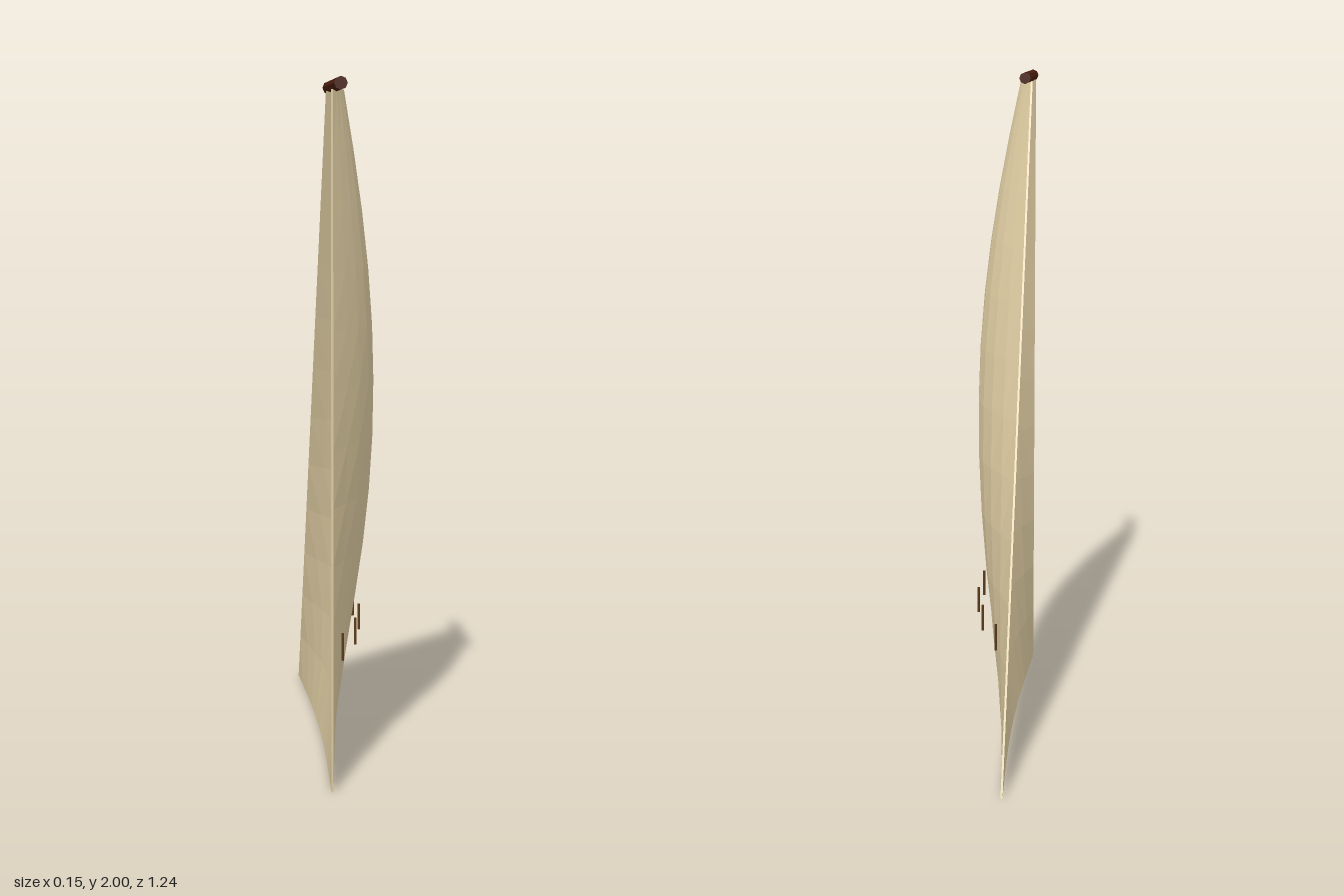
import * as THREE from 'three';

const COLS = 10, ROWS = 12, HEIGHT = 1.97, THICK = 0.006;

// Point on the billowed sail: u runs luff to leech, v runs foot to head
function sailPoint(u, v, inner) {
  const luff = 0.525, leech = THREE.MathUtils.lerp(-0.615, 0.385, v);
  const billow = 0.148 * Math.sin(Math.PI * (0.04 + 0.88 * v)) * Math.sin(Math.PI * u);
  return [-0.071 + billow - (inner ? THICK : 0), v * HEIGHT, THREE.MathUtils.lerp(luff, leech, u)];
}

// Thin solid cloth: outer face, inner face and four edges
function sailGeometry() {
  const pos = [];
  const o = (i, j) => sailPoint(i / COLS, j / ROWS, false);
  const n = (i, j) => sailPoint(i / COLS, j / ROWS, true);
  const quad = (a, b, c, d) => pos.push(...a, ...b, ...c, ...a, ...c, ...d);
  for (let j = 0; j < ROWS; j++) {
    for (let i = 0; i < COLS; i++) {
      quad(o(i, j), o(i + 1, j), o(i + 1, j + 1), o(i, j + 1));
      quad(n(i, j), n(i, j + 1), n(i + 1, j + 1), n(i + 1, j));
    }
    quad(n(0, j), o(0, j), o(0, j + 1), n(0, j + 1));
    quad(o(COLS, j), n(COLS, j), n(COLS, j + 1), o(COLS, j + 1));
  }
  for (let i = 0; i < COLS; i++) {
    quad(n(i, 0), n(i + 1, 0), o(i + 1, 0), o(i, 0));
    quad(n(i, ROWS), o(i, ROWS), o(i + 1, ROWS), n(i + 1, ROWS));
  }
  const g = new THREE.BufferGeometry();
  g.setAttribute('position', new THREE.Float32BufferAttribute(pos, 3));
  g.computeVertexNormals();
  return g;
}

export function createModel() {
  const material = (name, color) => {
    const m = new THREE.MeshStandardMaterial({ color, flatShading: true });
    m.name = name;
    return m;
  };
  const canvas = material('canvas', 0xdccaa0);
  const darkWood = material('dark wood', 0x4a1e10);
  const rope = material('rope', 0x5a3a1a);

  const model = new THREE.Group();
  model.name = 'sail';
  const add = (name, geometry, mat, parent = model) => {
    const mesh = new THREE.Mesh(geometry, mat);
    mesh.name = name;
    parent.add(mesh);
    return mesh;
  };

  add('sailCloth', sailGeometry(), canvas);

  // Short spar across the head
  const spar = add('headSpar', new THREE.CylinderGeometry(0.018, 0.018, 0.325, 8), darkWood);
  spar.rotation.x = Math.PI / 2;
  spar.position.set(-0.06, 1.982, 0.4575);

  // Row of reefing ties following the billow
  const ties = new THREE.Group();
  ties.name = 'reefTies';
  model.add(ties);
  const tieGeometry = new THREE.CylinderGeometry(0.004, 0.004, 0.08, 6);
  [-0.035, 0.02, 0.05, 0.05, 0.02, -0.035].forEach((x, i) => {
    add('reefTie', tieGeometry, rope, ties).position.set(x, 0.4, 0.435 - i * 0.165);
  });

  return model;
}
